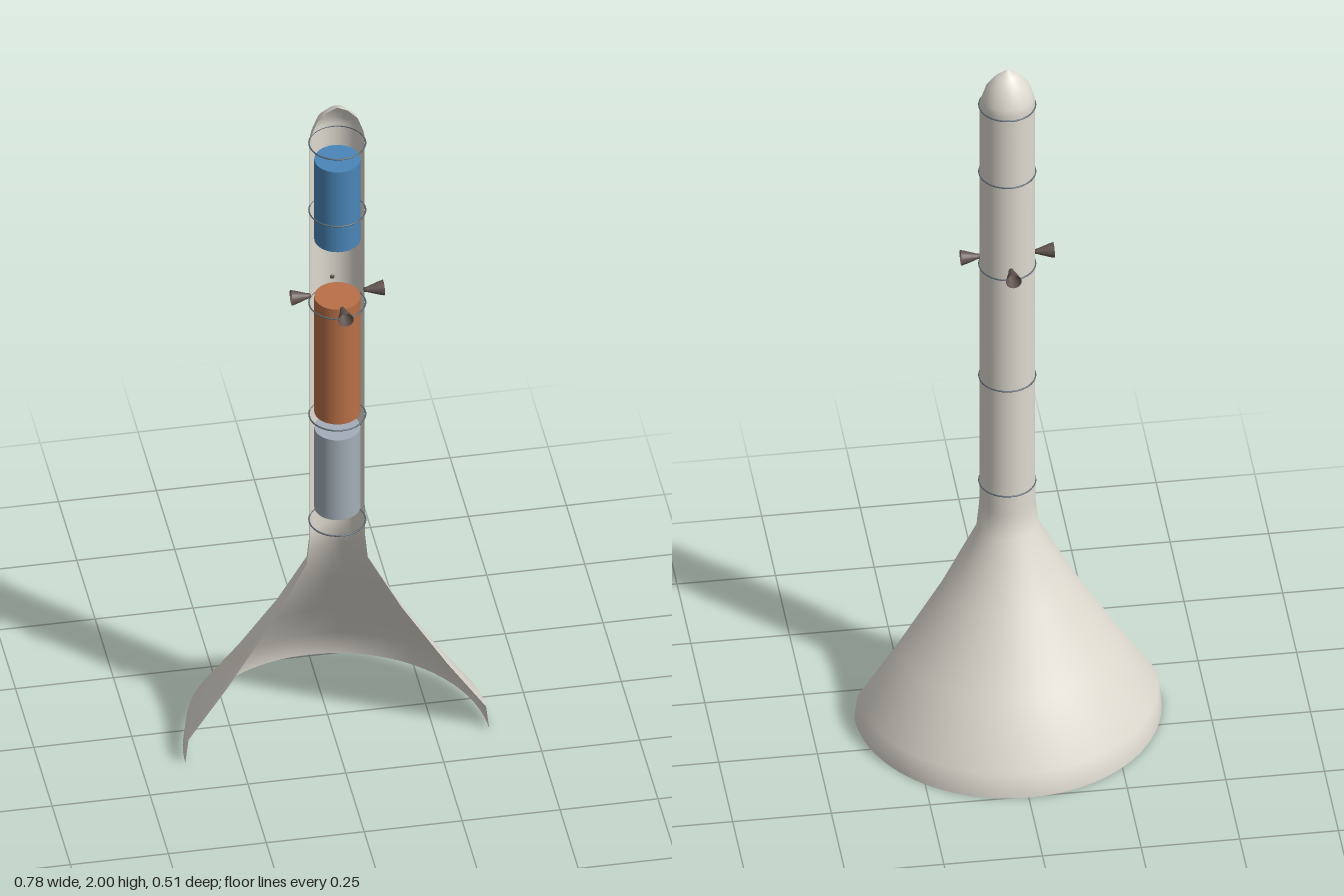
import * as THREE from 'three';

const mat = (name, color, side = THREE.FrontSide) => {
  const m = new THREE.MeshStandardMaterial({ color, side });
  m.name = name;
  return m;
};
const profile = (pts) => pts.map(([r, y]) => new THREE.Vector2(r, y));

export function createModel() {
  const group = new THREE.Group();
  const AXIS_Z = 0.133; // the body axis sits forward, since only the rear half of the shell exists
  const shellMat = mat('warm white', 0xdedad0, THREE.DoubleSide);
  const ringMat = mat('slate', 0x5a6873);
  const nozzleMat = mat('dark brown', 0x62544f, THREE.DoubleSide);

  const add = (name, geometry, material, y = 0) => {
    const mesh = new THREE.Mesh(geometry, material);
    mesh.name = name;
    mesh.position.set(0, y, AXIS_Z);
    group.add(mesh);
    return mesh;
  };

  // Cutaway shell: flared skirt, slim tube and pointed nose, rear half only
  const shell = profile([
    [0.388, 0], [0.38, 0.07], [0.28, 0.22], [0.165, 0.41], [0.078, 0.58],
    [0.071, 0.65], [0.07, 0.75], [0.07, 1.9], [0.066, 1.92], [0.052, 1.96],
    [0.027, 1.987], [0, 2],
  ]);
  add('shell', new THREE.LatheGeometry(shell, 48, Math.PI / 2, Math.PI), shellMat);

  // Inner tanks: bottom and top heights
  const tanks = [
    ['lowerTank', 0.75, 1.0, mat('pale steel', 0xa4aeb8)],
    ['middleTank', 1.05, 1.41, mat('copper', 0xb87048)],
    ['upperTank', 1.59, 1.84, mat('blue', 0x4a86b8)],
  ];
  for (const [name, y0, y1, material] of tanks) {
    add(name, new THREE.CylinderGeometry(0.058, 0.058, y1 - y0, 40), material, (y0 + y1) / 2);
  }

  // Thin hoops around the tube
  const hoop = new THREE.TorusGeometry(0.071, 0.002, 8, 64).rotateX(Math.PI / 2);
  for (const y of [0.71, 1.04, 1.39, 1.68, 1.89]) add('hoop', hoop, ringMat, y);

  // Four small bell thrusters pointing outwards
  const bell = new THREE.LatheGeometry(profile([
    [0, 0.068], [0.006, 0.068], [0.007, 0.076], [0.011, 0.088], [0.016, 0.103], [0.02, 0.118],
  ]), 20).rotateX(Math.PI / 2);
  for (let i = 0; i < 4; i++) {
    add('thruster', bell, nozzleMat, 1.42).rotation.y = i * Math.PI / 2;
  }

  return group;
}
